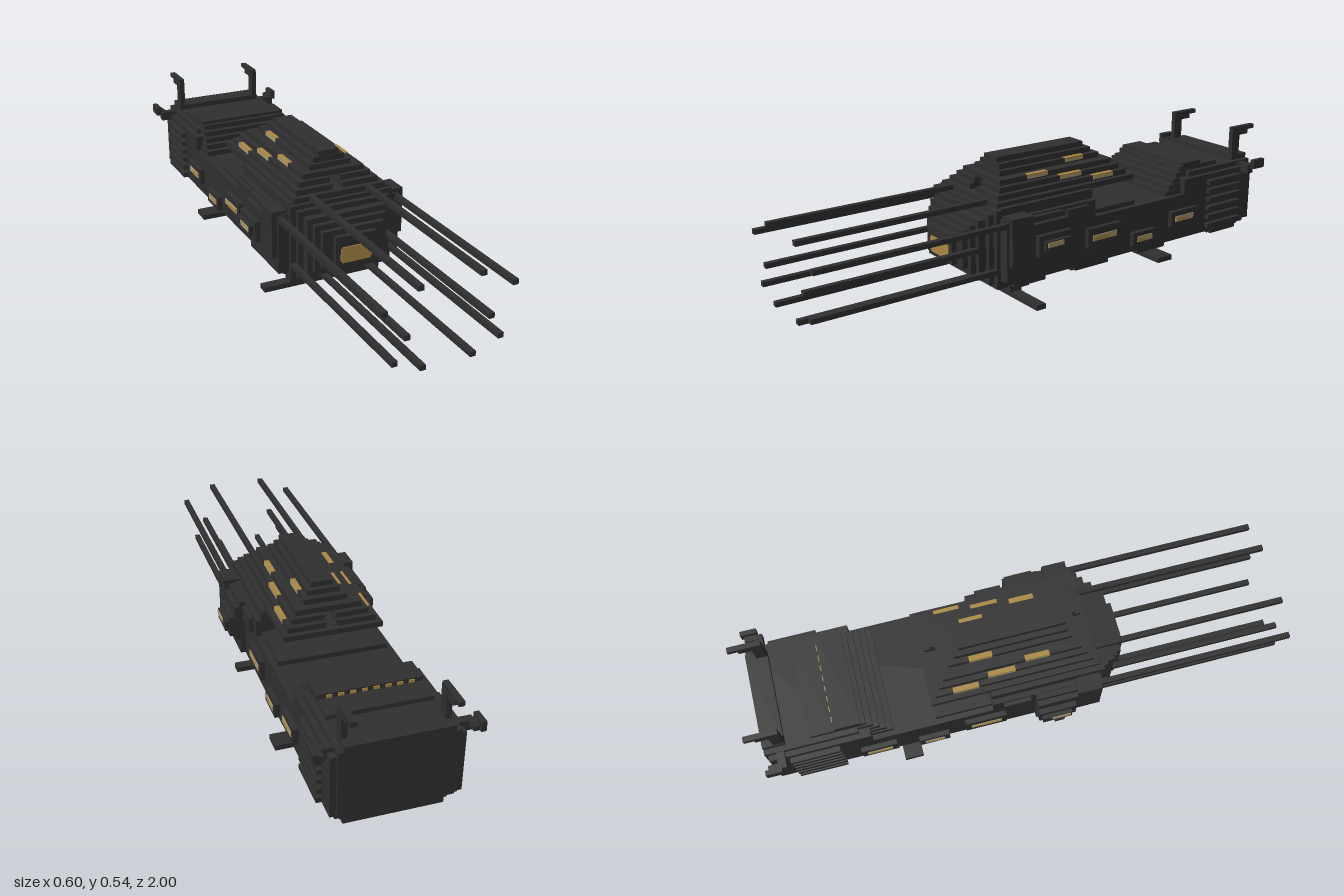
import * as THREE from 'three';

export function createModel() {
  const model = new THREE.Group();
  model.name = 'spaceship';
  const mat = (name, color) => Object.assign(new THREE.MeshStandardMaterial({ color }), { name });
  const hull = mat('charcoal hull', 0x2f2f2f);
  const amber = mat('amber light', 0xaa8844);
  const tan = mat('pale light', 0xad996c);

  const part = (name) => {
    const g = new THREE.Group();
    g.name = name;
    model.add(g);
    return g;
  };
  // Box given by its low and high limits on each axis
  const box = (g, x0, x1, y0, y1, z0, z1, m = hull) => {
    const mesh = new THREE.Mesh(new THREE.BoxGeometry(x1 - x0, y1 - y0, z1 - z0), m);
    mesh.position.set((x0 + x1) / 2, (y0 + y1) / 2, (z0 + z1) / 2);
    mesh.name = g.name;
    g.add(mesh);
  };
  const mid = (g, hx, ...rest) => box(g, -hx, hx, ...rest);
  const pair = (g, x0, x1, ...rest) => {
    box(g, x0, x1, ...rest);
    box(g, -x1, -x0, ...rest);
  };

  // Main hull with stepped lower corners
  const body = part('mainHull');
  mid(body, 0.18, 0.1, 0.12, -0.93, 0.28);
  mid(body, 0.2, 0.115, 0.14, -0.94, 0.285);
  mid(body, 0.22, 0.135, 0.3, -0.95, 0.28);
  mid(body, 0.2, 0.14, 0.38, -0.96, -0.62);
  mid(body, 0.22, 0.3, 0.36, -0.95, -0.58);
  mid(body, 0.22, 0.3, 0.365, -0.13, 0.28);
  mid(body, 0.2, 0.365, 0.4, -0.13, 0.275);
  mid(body, 0.2, 0.3, 0.318, -0.34, -0.13);

  // Stepped ramp and rear top deck
  const rear = part('rearDeck');
  for (let i = 0; i < 5; i++)
    mid(rear, 0.2 - 0.005 * i, 0.3 + 0.02 * i, 0.32 + 0.02 * i, -0.7, -0.5 - 0.022 * i);
  mid(rear, 0.18, 0.38, 0.412, -0.7, -0.605);
  mid(rear, 0.18, 0.38, 0.396, -0.79, -0.7);
  mid(rear, 0.18, 0.38, 0.4, -0.96, -0.88);
  const rearLights = part('rearDeckLights');
  for (let x = -0.14; x < 0.15; x += 0.04)
    box(rearLights, x - 0.01, x + 0.01, 0.398, 0.408, -0.704, -0.699, amber);

  // Nose: nested steps  [half width, bottom, top, front]
  const nose = part('nose');
  [[0.2, 0.105, 0.395, 0.295], [0.18, 0.12, 0.38, 0.315], [0.16, 0.14, 0.36, 0.345],
    [0.14, 0.16, 0.34, 0.365], [0.12, 0.18, 0.32, 0.385], [0.08, 0.185, 0.3, 0.405]]
    .forEach(([hx, y0, y1, z]) => mid(nose, hx, y0, y1, 0.25, z));
  const noseWindow = part('noseWindow');
  mid(noseWindow, 0.055, 0.2, 0.26, 0.402, 0.409, amber);
  pair(noseWindow, 0.055, 0.061, 0.207, 0.253, 0.402, 0.409, amber);

  // Stepped upper cabin  [half width, bottom, rear, front]
  const cabin = part('upperCabin');
  [[0.18, 0.395, -0.345, 0.28], [0.12, 0.455, -0.285, 0.225], [0.08, 0.475, -0.255, 0.2],
    [0.06, 0.495, -0.23, 0.188], [0.04, 0.515, -0.21, 0.185]]
    .forEach(([hx, y, z0, z1]) => mid(cabin, hx, y, y + 0.02, z0, z1));
  // Two layers split by the central tunnel
  pair(cabin, 0.02, 0.16, 0.415, 0.435, -0.325, 0.26);
  pair(cabin, 0.02, 0.14, 0.435, 0.455, -0.305, 0.24);

  // Cabin edge lights  [outer x, bottom, rear, front]
  const cabinLights = part('cabinLights');
  [[0.161, 0.42, -0.26, -0.165], [0.141, 0.44, -0.125, -0.025],
    [0.121, 0.46, 0.015, 0.105], [0.081, 0.48, -0.18, -0.095]].forEach(([x, y, z0, z1], i) => {
    pair(cabinLights, x - 0.003, x + 0.001, y, y + 0.016, z0, z1, tan);
    pair(cabinLights, x - 0.018, x + 0.001, y + 0.013, y + 0.017, z0, z1, amber);
  });

  // Side pods at the front
  const pods = part('sidePods');
  pair(pods, 0.2, 0.24, 0.14, 0.36, 0.03, 0.28);
  pair(pods, 0.2, 0.26, 0.2, 0.375, 0.18, 0.27);
  pair(pods, 0.2, 0.26, 0.2, 0.34, 0.03, 0.25);
  pair(pods, 0.24, 0.28, 0.22, 0.3, 0.03, 0.17);
  pair(pods, 0.26, 0.295, 0.24, 0.28, 0.04, 0.15);
  pair(part('podLights'), 0.29, 0.298, 0.258, 0.276, 0.075, 0.145, tan);
  pair(pods, 0.2, 0.235, 0.3, 0.355, -0.09, 0.01);

  // Framed side windows  [rear, front, bottom, top]
  const frames = part('windowFrames');
  const windows = part('sideWindows');
  [[-0.24, -0.085, 0.185, 0.262], [-0.42, -0.305, 0.145, 0.2], [-0.635, -0.5, 0.183, 0.245]]
    .forEach(([z0, z1, y0, y1]) => {
      pair(frames, 0.21, 0.238, y0, y1, z0, z1);
      const y = (y0 + y1) / 2;
      pair(windows, 0.236, 0.241, y - 0.011, y + 0.011, z0 + 0.02, z1 - 0.02, tan);
      pair(windows, 0.236, 0.242, y - 0.011, y + 0.004, z0 + 0.06, z1 - 0.025, amber);
    });

  // Rear cooling slats
  const slats = part('coolingSlats');
  for (let i = 0; i < 6; i++) {
    const y = 0.14 + i * 0.036;
    pair(slats, 0.21, 0.24, y, y + 0.018, -0.88, -0.7);
  }

  // Long forward cannons  [x, y]
  const cannons = part('cannons');
  [[0.11, 0.407], [0.23, 0.348], [0.15, 0.25], [0.19, 0.17], [0.09, 0.13]]
    .forEach(([x, y]) => pair(cannons, x - 0.01, x + 0.01, y - 0.009, y + 0.009, 0.24, 1));

  // Rear masts with swept arms
  const masts = part('rearMasts');
  pair(masts, 0.158, 0.178, 0.38, 0.515, -0.92, -0.88);
  pair(masts, 0.158, 0.178, 0.498, 0.515, -1, -0.9);
  pair(masts, 0.158, 0.178, 0.48, 0.5, -0.965, -0.91);

  // Rear corner hooks
  const hooks = part('rearHooks');
  pair(hooks, 0.2, 0.26, 0.34, 0.375, -0.92, -0.89);
  pair(hooks, 0.24, 0.278, 0.36, 0.378, -0.955, -0.905);
  pair(hooks, 0.26, 0.278, 0.36, 0.396, -0.965, -0.905);

  // Belly plates and cross bars
  const belly = part('bellyPlates');
  mid(belly, 0.17, 0.08, 0.105, 0.06, 0.2);
  mid(belly, 0.1, 0.04, 0.085, 0.085, 0.17);
  pair(belly, 0.04, 0.08, 0.015, 0.045, 0.105, 0.155);
  mid(belly, 0.17, 0.08, 0.105, -0.24, -0.08);
  mid(belly, 0.12, 0.06, 0.085, -0.22, -0.1);
  mid(belly, 0.08, 0.045, 0.065, -0.17, -0.13);
  mid(belly, 0.17, 0.08, 0.105, -0.53, -0.39);
  mid(belly, 0.17, 0.08, 0.105, -0.93, -0.79);
  pair(belly, 0.06, 0.12, 0.062, 0.085, -0.9, -0.82);
  const bars = part('bellyCrossBars');
  mid(bars, 0.238, 0, 0.02, 0.11, 0.15);
  mid(bars, 0.258, 0.06, 0.08, -0.49, -0.42);

  return model;
}
